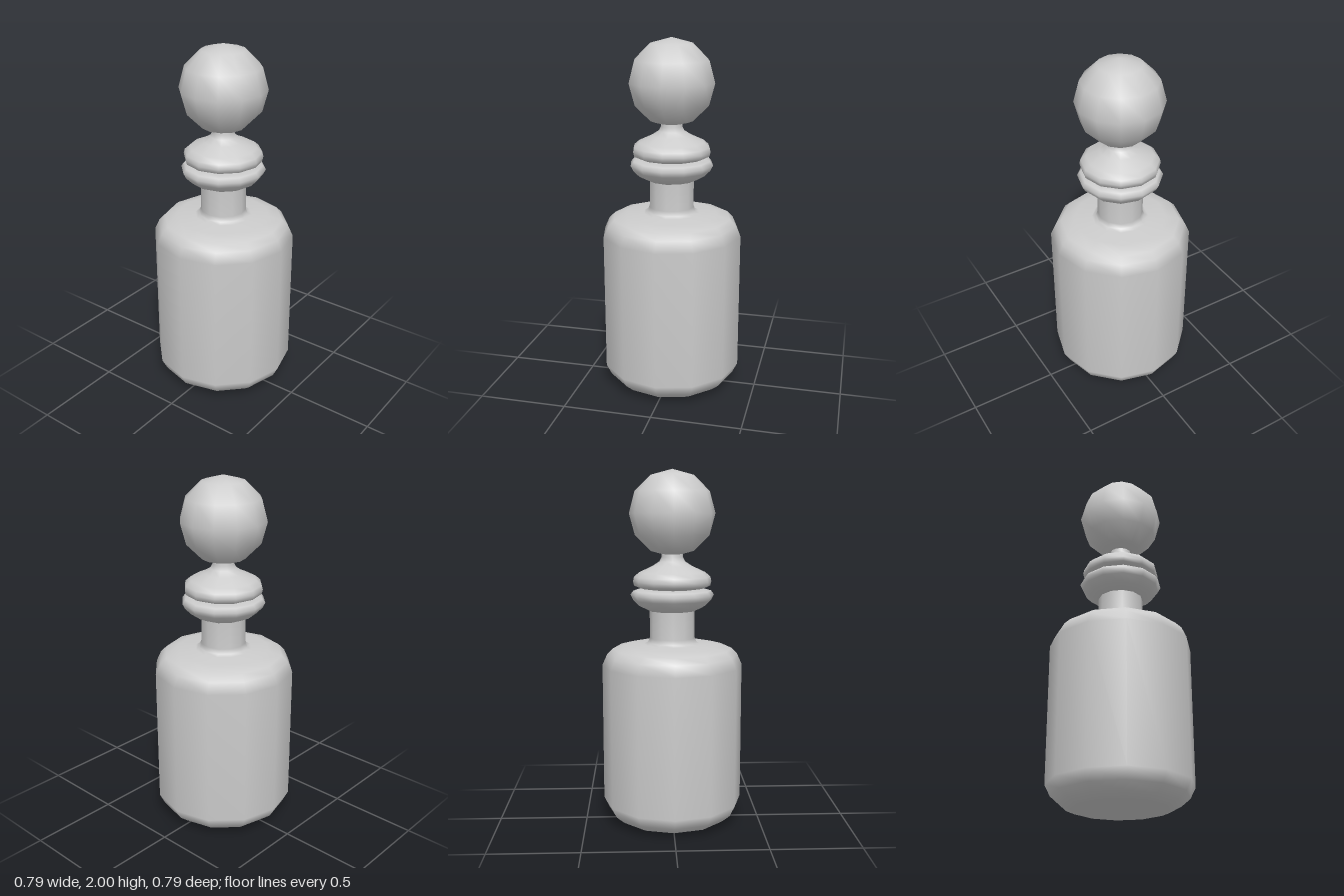
import * as THREE from 'three';

const SIDES = 12;

export function createModel() {
  const group = new THREE.Group();
  const material = new THREE.MeshStandardMaterial({ color: 0xcccccc });

  const add = (name, geometry) => {
    const mesh = new THREE.Mesh(geometry, material);
    mesh.name = name;
    group.add(mesh);
    return mesh;
  };
  // Turned part from [radius, height] pairs, listed bottom to top
  const turned = (name, profile) =>
    add(name, new THREE.LatheGeometry(profile.map(([r, y]) => new THREE.Vector2(r, y)), SIDES));

  // Rounded body rising through the shoulder into the neck
  turned('bottleBody', [
    [0, 0], [0.25, 0], [0.27, 0.004], [0.32, 0.025], [0.367, 0.065], [0.397, 0.125],
    [0.397, 0.91], [0.37, 0.97], [0.335, 1.005], [0.26, 1.025], [0.16, 1.03],
    [0.138, 1.04], [0.127, 1.065], [0.127, 1.23],
  ]);

  // Flared lip around the mouth
  turned('bottleLip', [
    [0.12, 1.22], [0.132, 1.22], [0.185, 1.245], [0.22, 1.28], [0.235, 1.31],
    [0.218, 1.332], [0.19, 1.34], [0.09, 1.34],
  ]);

  // Stopper: hidden plug, domed collar and slim stem
  turned('stopperCollar', [
    [0, 1.2], [0.1, 1.2], [0.1, 1.335], [0.185, 1.348], [0.214, 1.36], [0.22, 1.385],
    [0.214, 1.41], [0.185, 1.435], [0.11, 1.47], [0.072, 1.495], [0.06, 1.52], [0.06, 1.56],
  ]);

  // Ball finial
  add('stopperBall', new THREE.SphereGeometry(0.24, SIDES, 6)).position.y = 1.76;

  return group;
}
